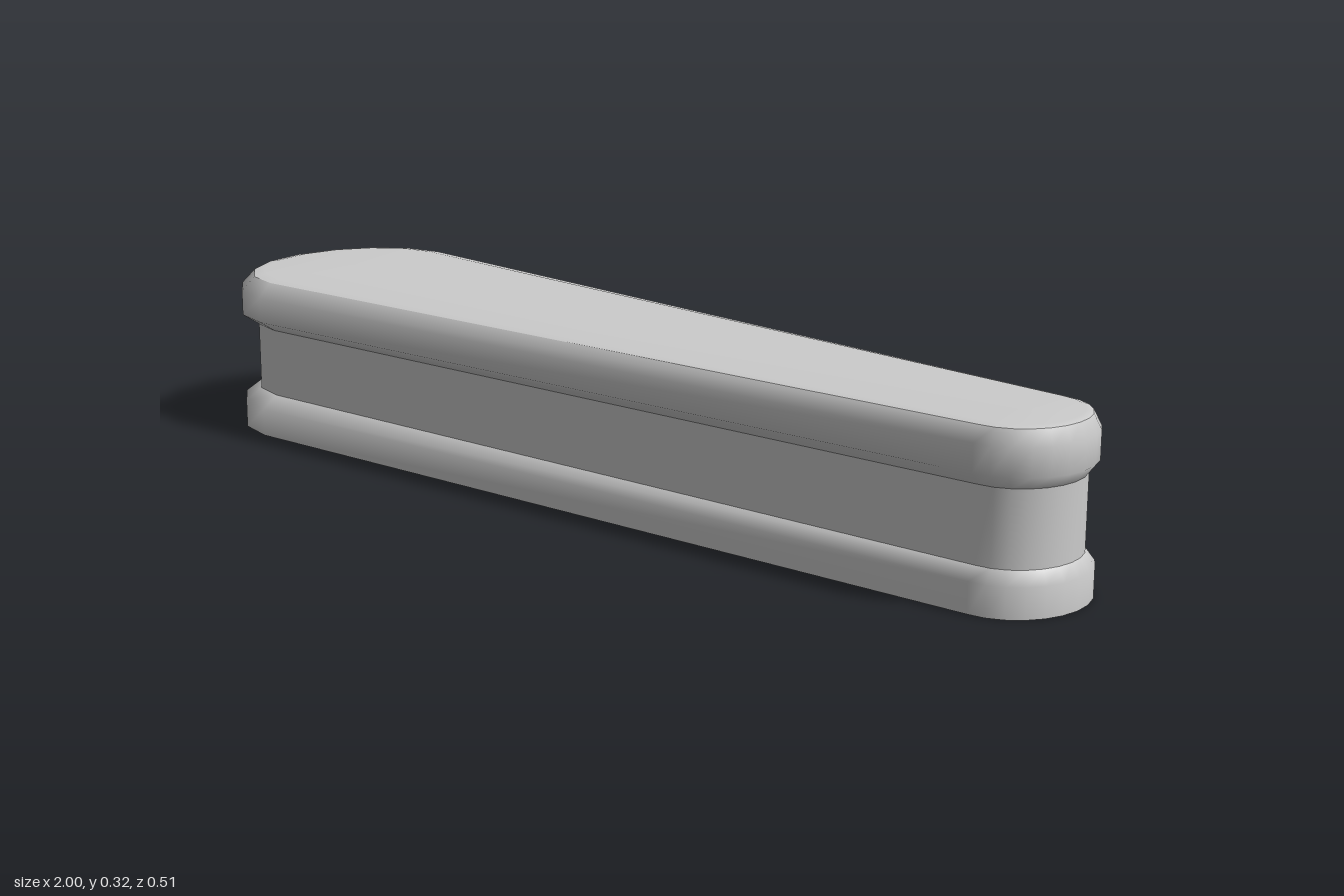
import * as THREE from 'three';

// Tapered outline: wide rounded end at -x, narrow rounded end at +x.
// Each point keeps its end centre so a section can shrink toward the spine.
function makeOutline() {
  const points = [];
  const addEnd = (centre, depth, halfWidth, start, segments) => {
    for (let i = 0; i <= segments; i++) {
      const t = start + (Math.PI * i) / segments;
      points.push({ centre, dx: depth * Math.cos(t), z: halfWidth * Math.sin(t) });
    }
  };
  addEnd(0.88, 0.12, 0.137, -Math.PI / 2, 12);
  addEnd(-0.786, 0.214, 0.253, Math.PI / 2, 8);
  return points;
}

// Skin a band through sections given as [scale toward spine, height]
function makeBand(name, outline, sections, material) {
  const n = outline.length;
  const positions = [];
  const indices = [];
  for (const [k, y] of sections) {
    for (const p of outline) positions.push(p.centre + p.dx * k, y, p.z * k);
  }
  for (let i = 0; i < sections.length - 1; i++) {
    for (let j = 0; j < n; j++) {
      const a = i * n + j;
      const b = i * n + ((j + 1) % n);
      indices.push(a, a + n, b, b, a + n, b + n);
    }
  }
  const geometry = new THREE.BufferGeometry();
  geometry.setAttribute('position', new THREE.Float32BufferAttribute(positions, 3));
  geometry.setIndex(indices);
  geometry.computeVertexNormals();
  const mesh = new THREE.Mesh(geometry, material);
  mesh.name = name;
  return mesh;
}

export function createModel() {
  const group = new THREE.Group();
  group.name = 'taperedShell';
  const material = new THREE.MeshStandardMaterial({ color: 0xcccccc, side: THREE.DoubleSide });
  const outline = makeOutline();

  // Open-bottomed shell: separate bands keep the seams between them crisp
  const bands = {
    lowerFlange: [[1, 0], [1, 0.055], [0.865, 0.078]],
    neck: [[0.865, 0.078], [0.865, 0.213]],
    upperRim: [[0.865, 0.213], [1, 0.235], [1, 0.285], [0.89, 0.312]],
    lid: [[0.89, 0.312], [0.79, 0.316], [0, 0.317]],
  };
  for (const [name, sections] of Object.entries(bands)) {
    group.add(makeBand(name, outline, sections, material));
  }
  return group;
}
